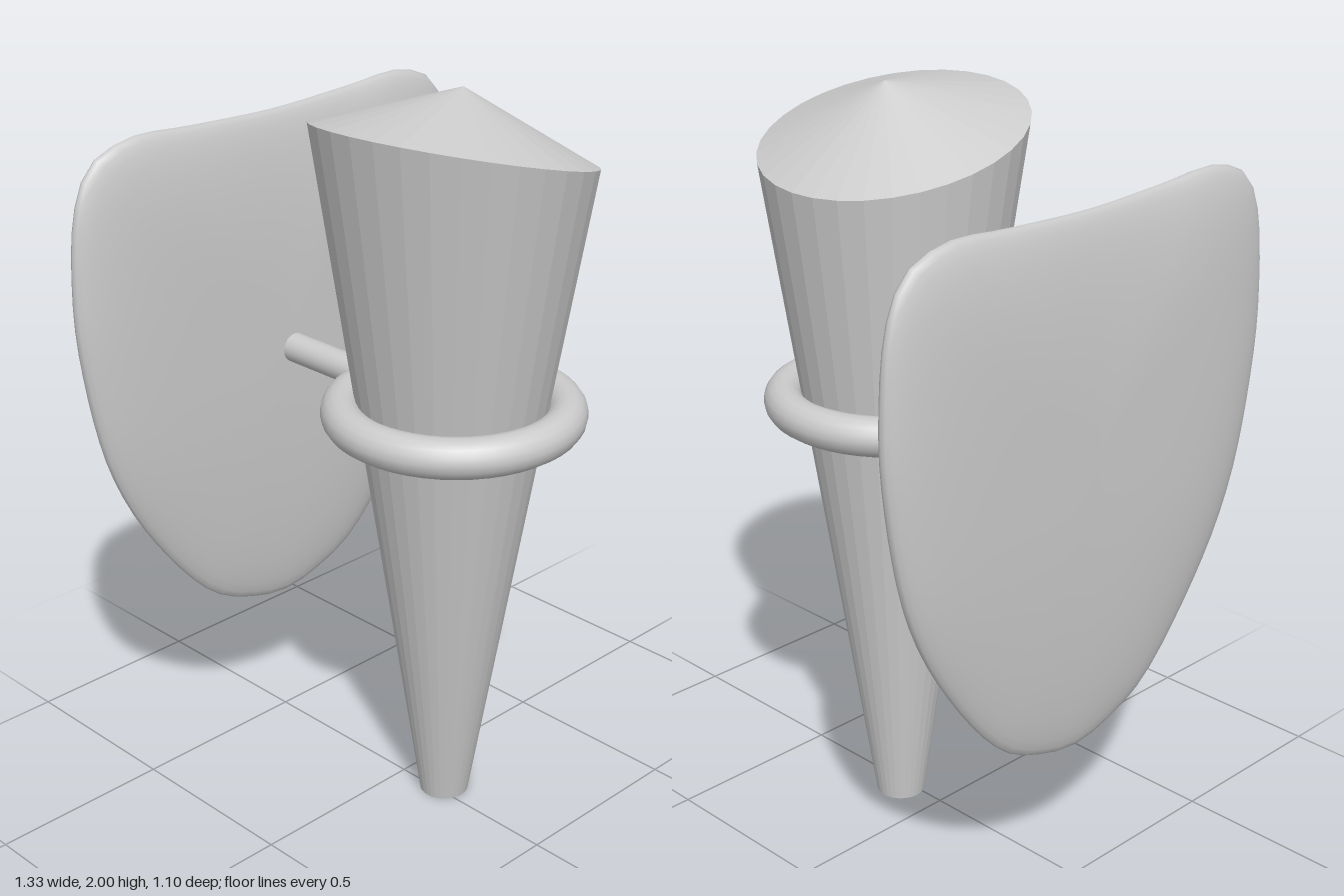
import * as THREE from 'three';

const smooth = new THREE.MeshStandardMaterial({ color: 0xcccccc });
const faceted = new THREE.MeshStandardMaterial({ color: 0xcccccc, flatShading: true });

function addMesh(group, name, geometry, material) {
  const mesh = new THREE.Mesh(geometry, material);
  mesh.name = name;
  group.add(mesh);
  return mesh;
}

// Leaning tapered body: level foot, slanted rim and a shallow pointed lid
function torchGeometry() {
  const geo = new THREE.CylinderGeometry(0.353, 0.066, 1, 32);
  const pos = geo.attributes.position;
  for (let i = 0; i < pos.count; i++) {
    const x = pos.getX(i), z = pos.getZ(i);
    if (pos.getY(i) < 0) pos.setXYZ(i, 0.025 + x, 0, 0.132 + z);
    else if (Math.hypot(x, z) < 1e-6) pos.setXYZ(i, 0, 2, 0.197);
    else pos.setXYZ(i, -0.03 + x * 0.966, 1.865 - x * 0.256 + z * 0.037, 0.197 + z);
  }
  geo.computeVertexNormals();
  return geo;
}

// Pillow-shaped plate: a shield outline scaled in rings from front centre to back centre
function shieldGeometry() {
  const half = [[0.26, 0.48], [0.468, 0.727], [0.585, 0.96], [0.652, 1.28], [0.662, 1.47],
    [0.638, 1.687], [0.585, 1.785], [0.468, 1.83], [0.27, 1.822]];
  const points = [[0, 0.39], [0.11, 0.41], ...half, [0, 1.812],
    ...half.map(([x, y]) => [-x, y]).reverse(), [-0.11, 0.41]];
  const curve = new THREE.CatmullRomCurve3(
    points.map(([x, y]) => new THREE.Vector3(x, y, 0)), true);
  const n = 72, rings = 28, cy = 1.2, depth = 0.06;
  const outline = curve.getSpacedPoints(n).slice(0, n);
  const verts = [], index = [];
  for (let j = 0; j <= rings; j++) {
    const phi = (j / rings) * Math.PI, s = Math.sin(phi);
    for (const p of outline) {
      const dx = p.x, dy = p.y - cy;
      // Sides are boxier than the top and bottom
      const power = 2.2 + 3.5 * dx * dx / (dx * dx + dy * dy);
      const z = depth * Math.sqrt(Math.max(0, 1 - Math.pow(s, power)));
      verts.push(dx * s, cy + dy * s, j * 2 === rings ? 0 : z * Math.sign(Math.cos(phi)));
    }
  }
  for (let j = 0; j < rings; j++) {
    for (let i = 0; i < n; i++) {
      const k = (i + 1) % n;
      const a = j * n + i, b = j * n + k, c = a + n, d = b + n;
      if (j < rings - 1) index.push(a, c, d);
      if (j > 0) index.push(a, d, b);
    }
  }
  const geo = new THREE.BufferGeometry();
  geo.setAttribute('position', new THREE.Float32BufferAttribute(verts, 3));
  geo.setIndex(index);
  geo.computeVertexNormals();
  return geo;
}

export function createModel() {
  const group = new THREE.Group();
  group.name = 'wallTorch';

  addMesh(group, 'torchBody', torchGeometry(), faceted);

  const ring = addMesh(group, 'holderRing', new THREE.TorusGeometry(0.286, 0.052, 16, 48), smooth);
  ring.rotation.x = Math.PI / 2;
  ring.position.set(-0.002, 1.167, 0.18);

  // Arm from the ring back to the wall plate
  const arm = addMesh(group, 'bracketArm', new THREE.CylinderGeometry(0.04, 0.04, 0.295, 24), smooth);
  arm.rotation.x = Math.PI / 2;
  arm.position.set(-0.002, 1.165, -0.268);

  const plate = addMesh(group, 'wallPlate', shieldGeometry(), smooth);
  plate.position.z = -0.487;

  return group;
}
